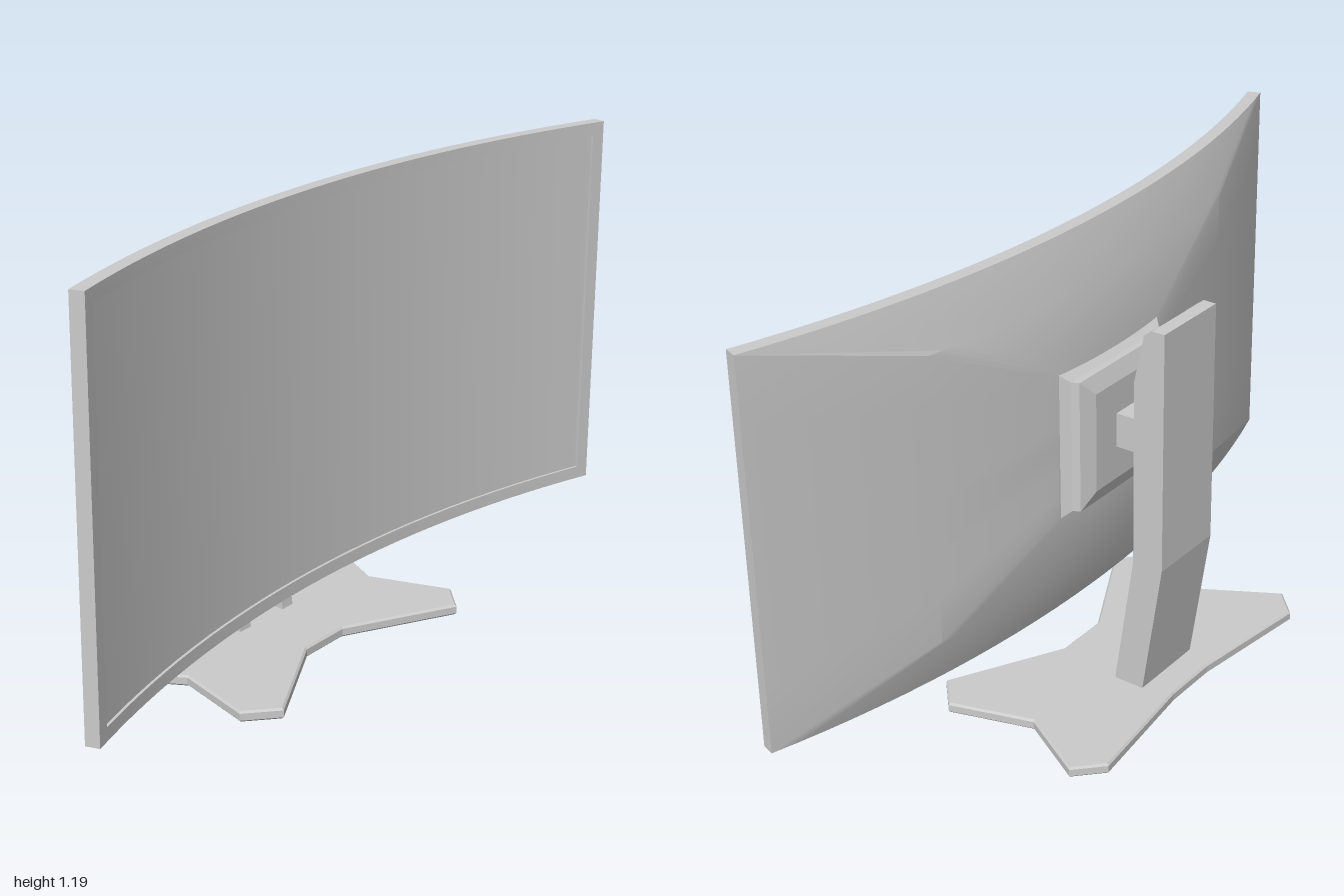
import * as THREE from 'three';
import { toCreasedNormals } from 'three/addons/utils/BufferGeometryUtils.js';

const material = new THREE.MeshStandardMaterial({ color: 0xcccccc });
const MID_Y = 0.6925;          // height of the display centre
const R = 3.2, CX = 0.115 + R; // curvature radius and centre of the display front
const HALF_ANGLE = 0.3142, HALF_H = 0.4975;

function add(parent, name, geometry) {
  const mesh = new THREE.Mesh(geometry, material);
  mesh.name = name;
  parent.add(mesh);
  return mesh;
}

// Rectangular loop, counter-clockwise seen from +x; place(u, v) maps -1..1 to a point
function loop(place, nz, ny) {
  const pts = [];
  for (let i = 0; i < ny; i++) pts.push(place(-1, -1 + 2 * i / ny));
  for (let i = 0; i < nz; i++) pts.push(place(-1 + 2 * i / nz, 1));
  for (let i = 0; i < ny; i++) pts.push(place(1, 1 - 2 * i / ny));
  for (let i = 0; i < nz; i++) pts.push(place(1 - 2 * i / nz, -1));
  return pts;
}

// Skin through successive loops
function skin(loops, crease = 0.5) {
  const n = loops[0].length, index = [];
  for (let j = 0; j < loops.length - 1; j++) {
    for (let i = 0; i < n; i++) {
      const k = (i + 1) % n, a = j * n, b = a + n;
      index.push(a + i, b + i, b + k, a + i, b + k, a + k);
    }
  }
  const g = new THREE.BufferGeometry();
  g.setAttribute('position', new THREE.Float32BufferAttribute(loops.flat(2), 3));
  g.setIndex(index);
  return toCreasedNormals(g, crease);
}

// Loop on the curved display: half angle, half height, depth behind the front
const curved = (angle, halfH, depth) => loop((u, v) => [
  CX - (R + depth) * Math.cos(u * angle),
  MID_Y + v * halfH,
  (R + depth) * Math.sin(u * angle),
], 28, 6);

// Flat loop at a given x
const flat = (x, halfH, halfZ) => loop((u, v) => [x, MID_Y + v * halfH, u * halfZ], 1, 1);

// Side profile in x, y extruded along z
function slab(points, z0, z1) {
  const shape = new THREE.Shape(points.map(([x, y]) => new THREE.Vector2(x, y)));
  const g = new THREE.ExtrudeGeometry(shape, { depth: z1 - z0, bevelEnabled: false });
  return g.translate(0, 0, z0);
}

export function createModel() {
  const group = new THREE.Group();
  group.name = 'curvedMonitor';

  // Display: recessed screen, bezel with rim, domed back
  const display = new THREE.Group();
  display.name = 'display';
  group.add(display);
  const inA = HALF_ANGLE - 0.011, inH = HALF_H - 0.033;
  add(display, 'screen', skin([curved(inA, 0, 0.007), curved(inA, inH, 0.007)]));
  add(display, 'bezel', skin([
    curved(inA, inH, 0.007),
    curved(inA, inH, 0),
    curved(HALF_ANGLE, HALF_H, 0),
    curved(HALF_ANGLE, HALF_H, 0.035),
  ]));
  add(display, 'backShell', skin([
    curved(HALF_ANGLE, HALF_H, 0.035),
    curved(0.176, 0.37, 0.077),
    curved(0.062, 0.19, 0.1),
    curved(0.062, 0, 0.1),
  ]));

  // Raised mounting plate with bevelled edges
  add(group, 'mountPlate', skin([
    flat(0.022, 0.192, 0.2),
    flat(0.0, 0.172, 0.18),
    flat(-0.018, 0.172, 0.172),
    flat(-0.035, 0.13, 0.13),
    flat(-0.035, 0, 0.13),
  ], 0.1));

  // Arm reaching into the column
  const arm = add(group, 'arm', new THREE.BoxGeometry(0.145, 0.09, 0.095));
  arm.position.set(-0.1045, 0.694, 0);

  // Column: a channel open to the front
  const column = new THREE.Group();
  column.name = 'column';
  group.add(column);
  const flange = [[-0.21, 1.015], [-0.21, 0.387], [-0.155, 0.025], [-0.072, 0.025],
    [-0.126, 0.387], [-0.126, 0.87], [-0.153, 0.998], [-0.175, 1.015]];
  const web = [[-0.21, 1.015], [-0.21, 0.387], [-0.155, 0.025], [-0.121, 0.025],
    [-0.175, 0.387], [-0.175, 1.015]];
  add(column, 'columnBack', slab(web, -0.065, 0.065));
  add(column, 'columnLeftFlange', slab(flange, 0.065, 0.106));
  add(column, 'columnRightFlange', slab(flange, -0.106, -0.065));

  // Four-pointed foot
  const half = [[-0.225, 0.075], [-0.266, 0.408], [-0.204, 0.471], [-0.02, 0.368],
    [0.194, 0.433], [0.26, 0.361], [0.108, 0.075]];
  const outline = [...half, ...half.map(([x, z]) => [x, -z]).reverse()];
  const foot = new THREE.ExtrudeGeometry(
    new THREE.Shape(outline.map(([x, z]) => new THREE.Vector2(x, z))),
    { depth: 0.018, bevelThickness: 0.005, bevelSize: 0.005, bevelSegments: 1 });
  foot.rotateX(-Math.PI / 2).translate(0, 0.005, 0);
  add(group, 'foot', foot);

  return group;
}
